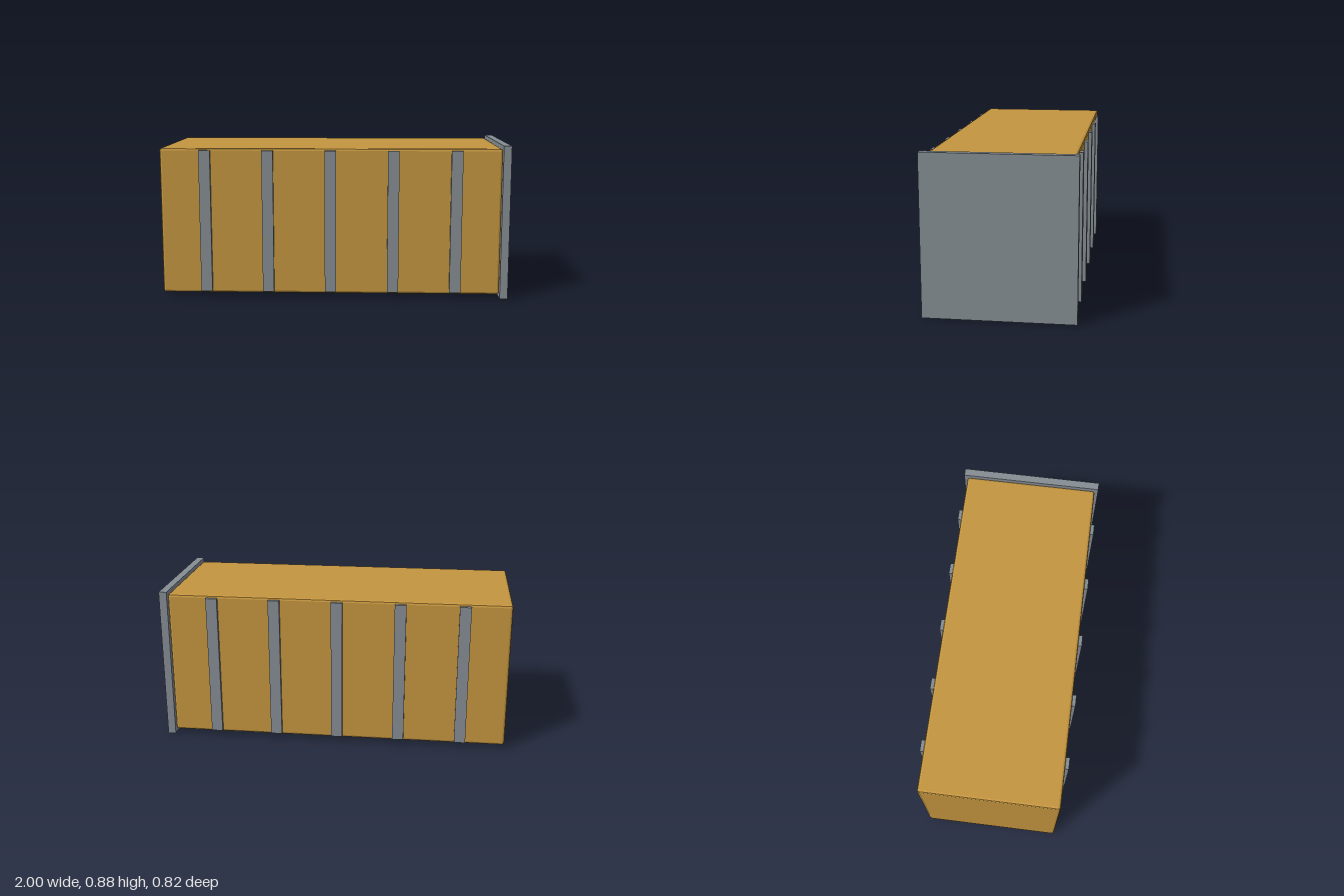
import * as THREE from 'three';
import { RoundedBoxGeometry } from 'three/addons/geometries/RoundedBoxGeometry.js';

export function createModel() {
  const model = new THREE.Group();
  model.name = 'ribbedContainer';

  const ochre = new THREE.MeshStandardMaterial({ color: 0xc4963f });
  ochre.name = 'ochre paint';
  const steel = new THREE.MeshStandardMaterial({ color: 0x858d93 });
  steel.name = 'grey steel';

  // Adds a part spanning the given min and max corners
  function addPart(name, makeGeometry, material, min, max) {
    const size = max.map((v, i) => v - min[i]);
    const mesh = new THREE.Mesh(makeGeometry(...size), material);
    mesh.position.set(...max.map((v, i) => (v + min[i]) / 2));
    mesh.name = name;
    model.add(mesh);
  }
  const plainBox = (w, h, d) => new THREE.BoxGeometry(w, h, d);
  const bevelledBox = (w, h, d) => {
    const geometry = new RoundedBoxGeometry(w, h, d, 1, 0.014);
    geometry.computeVertexNormals(); // flat bevel faces
    return geometry;
  };

  // Main body with finely bevelled edges
  addPart('body', bevelledBox, ochre, [-1, 0.02, -0.39], [0.955, 0.865, 0.39]);

  // Overhanging end plate
  addPart('endPlate', plainBox, steel, [0.955, 0, -0.41], [1, 0.883, 0.41]);

  // Five upright ribs on each long side
  for (let i = 0; i < 5; i++) {
    const x = -0.741 + i * 0.3595;
    for (const side of [-1, 1]) {
      const z = [side * 0.37, side * 0.41].sort((a, b) => a - b);
      addPart(side > 0 ? 'frontRib' : 'backRib', plainBox, steel,
        [x - 0.0325, 0.033, z[0]], [x + 0.0325, 0.853, z[1]]);
    }
  }
  return model;
}
